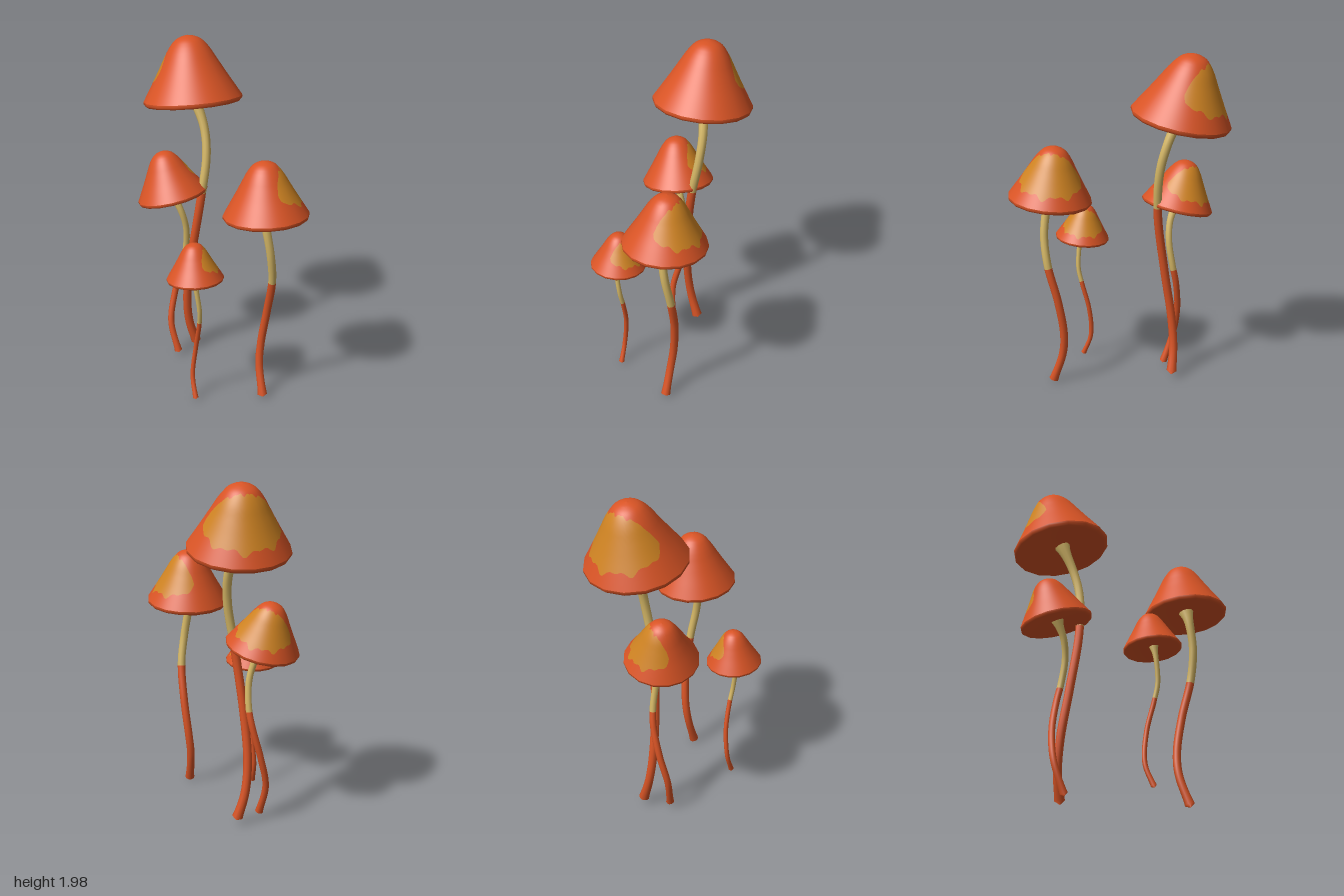
import * as THREE from 'three';

const red = new THREE.MeshStandardMaterial({ color: 0xd95425 });
red.name = 'orangeRed';
const ochre = new THREE.MeshStandardMaterial({ color: 0xcf8322 });
ochre.name = 'ochre';
const cream = new THREE.MeshStandardMaterial({ color: 0xd6b866 });
cream.name = 'paleStem';

const SIDES = 16, SUB = 6, ROWS = 10;
const V2 = (x, y) => new THREE.Vector2(x, y);

// Bell profile of a cap with rim radius 1, evenly spaced in radius from the tip to the rim
const bell = new THREE.SplineCurve(
  [1.32, 1.29, 1.21, 1.03, 0.78, 0.53, 0.29, 0.05].map((h, i) => V2(i / 7, h)));

// Radial limits of the painted patch at an angle, measured from the patch centre
function patchLimits(angle) {
  const d = Math.atan2(Math.sin(angle), Math.cos(angle)) / 1.55;
  const w = Math.sqrt(Math.max(0, 1 - d * d));
  const ragged = w * (0.025 * Math.sin(angle * 9 + 1) + 0.02 * Math.sin(angle * 17));
  return [0.65 - 0.36 * w + ragged * 0.7, 0.65 + 0.2 * w + ragged];
}

// One band of the cap surface, between two limits that vary with the angle
function capBand(limits) {
  const pos = [], nor = [], idx = [], cols = SIDES * SUB;
  for (let i = 0; i <= cols; i++) {
    const a = (i / cols) * Math.PI * 2;
    const half = Math.PI / SIDES;
    const flat = Math.cos(half) / Math.cos((a % (2 * half)) - half);
    const c = Math.cos(a), s = Math.sin(a);
    const [t0, t1] = limits(a);
    for (let j = 0; j <= ROWS; j++) {
      const t = t0 + (t1 - t0) * j / ROWS;
      const p = bell.getPoint(t);
      const g = bell.getTangent(Math.max(t, 0.002));
      pos.push(p.x * c * flat, p.y, p.x * s * flat);
      nor.push(-g.y * c, g.x, -g.y * s);
      if (i < cols && j < ROWS) {
        const k = i * (ROWS + 1) + j, n = k + ROWS + 1;
        idx.push(k, n, k + 1, n, n + 1, k + 1);
      }
    }
  }
  const geo = new THREE.BufferGeometry();
  geo.setAttribute('position', new THREE.Float32BufferAttribute(pos, 3));
  geo.setAttribute('normal', new THREE.Float32BufferAttribute(nor, 3));
  geo.setIndex(idx);
  return geo;
}

function part(name, geo, mat) {
  const mesh = new THREE.Mesh(geo, mat);
  mesh.name = name;
  return mesh;
}

// Tilted cap: crown, patch, skirt, and the rounded rim with the underside
function makeCap({ center, radius, lean, patch }) {
  const cap = new THREE.Group();
  cap.name = 'cap';
  const limits = a => patchLimits(a - patch);
  cap.add(
    part('capCrown', capBand(a => [0, limits(a)[0]]), red),
    part('capPatch', capBand(limits), ochre),
    part('capSkirt', capBand(a => [limits(a)[1], 1]), red),
    part('capUnderside', new THREE.LatheGeometry([
      V2(0, 0.1), V2(0.4, 0.05), V2(0.8, -0.01), V2(0.91, -0.045),
      V2(0.97, -0.04), V2(1, 0), V2(1, 0.05)], SIDES), red));
  cap.position.set(...center);
  cap.scale.setScalar(radius);
  cap.quaternion.setFromUnitVectors(new THREE.Vector3(0, 1, 0),
    new THREE.Vector3(...lean).normalize());
  return cap;
}

// Curved stem: red below, pale above, bulbous foot and flared neck
function makeStem({ path, thickness, change }) {
  const N = 72, R = 10;
  const curve = new THREE.CatmullRomCurve3(path.map(p => new THREE.Vector3(...p)));
  const geo = new THREE.TubeGeometry(curve, N, thickness, R);
  const pos = geo.attributes.position, v = new THREE.Vector3();
  let split = 0;
  for (let j = 0; j <= N; j++) {
    const t = j / N, c = curve.getPointAt(t);
    if (c.y < change) split = j;
    const k = j === 0 ? 0 : 1 + 0.35 * Math.exp(-t * 30) + 0.9 * Math.exp((t - 1) * 32);
    for (let i = 0; i <= R; i++) {
      const n = j * (R + 1) + i;
      v.fromBufferAttribute(pos, n).sub(c).multiplyScalar(k).add(c);
      pos.setXYZ(n, v.x, v.y, v.z);
    }
  }
  const cut = split * R * 6;
  geo.addGroup(0, cut, 0);
  geo.addGroup(cut, N * R * 6 - cut, 1);
  return part('stem', geo, [red, cream]);
}

const mushrooms = [
  { name: 'tallMushroom', center: [-0.268, 1.622, -0.235], radius: 0.285,
    lean: [-0.14, 1, -0.15], patch: -2.28, thickness: 0.025, change: 1.1,
    path: [[-0.25, 0.035, -0.215], [-0.288, 0.2, -0.185], [-0.29, 0.39, -0.16],
      [-0.25, 0.68, -0.14], [-0.19, 1.05, -0.142], [-0.167, 1.31, -0.18],
      [-0.19, 1.47, -0.21], [-0.26, 1.645, -0.235]] },
  { name: 'leaningMushroom', center: [-0.355, 1.062, -0.12], radius: 0.208,
    lean: [-0.27, 1, -0.04], patch: -1.72, thickness: 0.019, change: 0.7,
    path: [[-0.312, 0.035, -0.065], [-0.37, 0.23, -0.09], [-0.36, 0.415, -0.135],
      [-0.32, 0.6, -0.163], [-0.295, 0.71, -0.16], [-0.283, 0.86, -0.138],
      [-0.305, 0.97, -0.118], [-0.355, 1.075, -0.11]] },
  { name: 'mediumMushroom', center: [0.323, 1.165, 0.197], radius: 0.238,
    lean: [-0.07, 1, -0.07], patch: -0.78, thickness: 0.023, change: 0.77,
    path: [[0.322, 0.012, 0.203], [0.282, 0.2, 0.155], [0.285, 0.335, 0.137],
      [0.32, 0.55, 0.143], [0.36, 0.77, 0.18], [0.358, 0.945, 0.213],
      [0.333, 1.1, 0.22], [0.318, 1.18, 0.21]] },
  { name: 'smallMushroom', center: [-0.03, 0.8, 0.362], radius: 0.16,
    lean: [-0.07, 1, -0.07], patch: -0.78, thickness: 0.0135, change: 0.525,
    path: [[-0.032, 0.015, 0.367], [-0.065, 0.15, 0.33], [-0.047, 0.335, 0.322],
      [-0.015, 0.5, 0.347], [-0.004, 0.6, 0.368], [-0.018, 0.73, 0.378],
      [-0.032, 0.81, 0.375]] },
];

export function createModel() {
  const model = new THREE.Group();
  model.name = 'mushroomCluster';
  for (const m of mushrooms) {
    const group = new THREE.Group();
    group.name = m.name;
    group.add(makeStem(m), makeCap(m));
    model.add(group);
  }
  return model;
}
